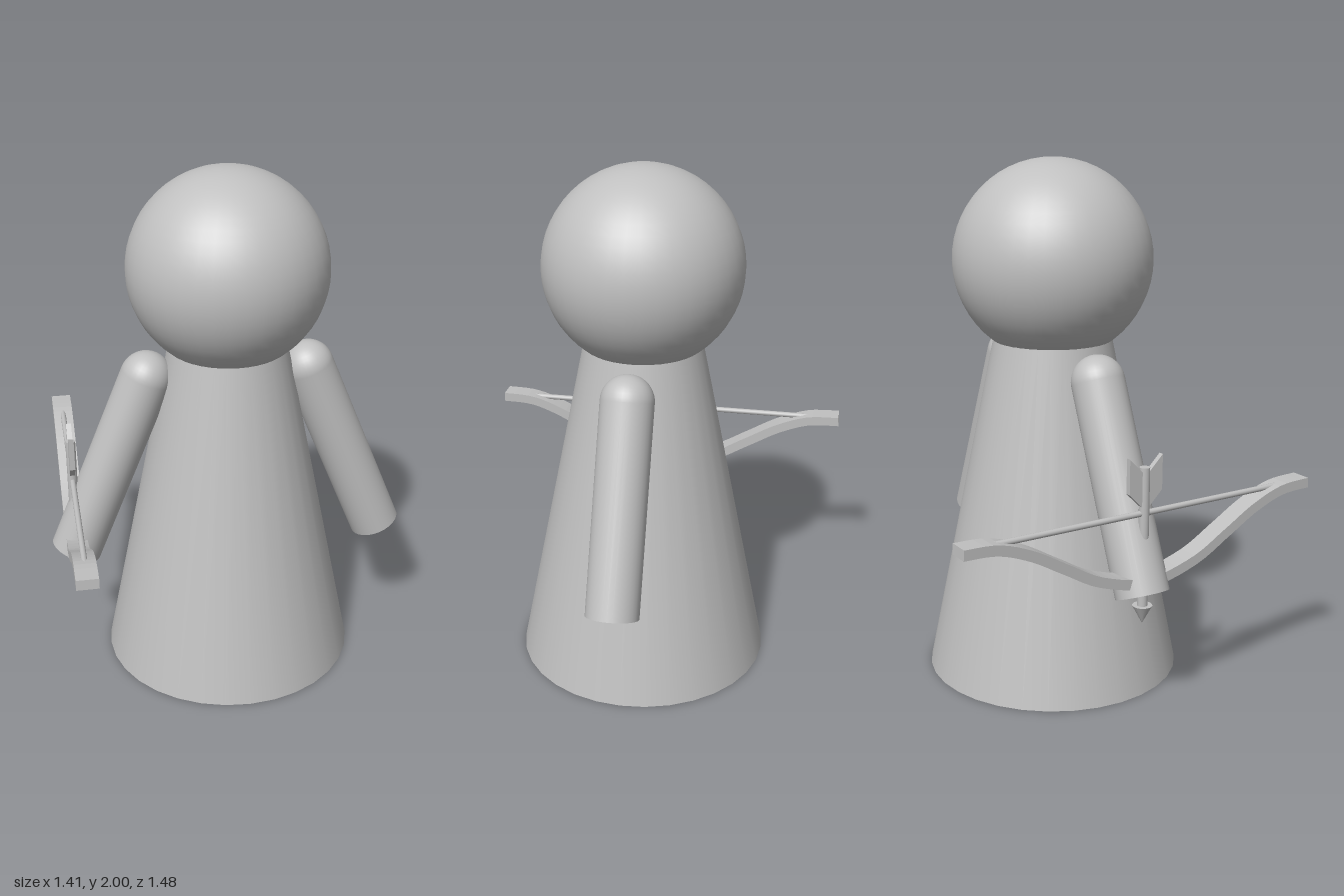
import * as THREE from 'three';

const grey = new THREE.MeshStandardMaterial({ color: 0xc0c0c0 });
grey.name = 'plain grey';

function part(parent, name, geometry, x = 0, y = 0, z = 0) {
  const mesh = new THREE.Mesh(geometry, grey);
  mesh.name = name;
  mesh.position.set(x, y, z);
  parent.add(mesh);
  return mesh;
}

// Outline drawn in (z, y), given thickness along x and centred there
function plate(shape, thickness) {
  return new THREE.ExtrudeGeometry(shape, { depth: thickness, bevelEnabled: false, curveSegments: 12 })
    .translate(0, 0, -thickness / 2)
    .rotateY(-Math.PI / 2);
}

// Recurved limb: a centre line thickened along its normals
function bowShape() {
  const half = [[0.74, 0.79], [0.61, 0.782], [0.48, 0.735], [0.35, 0.662], [0.2, 0.582]];
  const line = [...half.map(([z, y]) => [-z, y]), [0, 0.538], ...half.slice().reverse()];
  const curve = new THREE.SplineCurve(line.map(([z, y]) => new THREE.Vector2(z, y)));
  const upper = [], lower = [];
  for (let i = 0; i <= 48; i++) {
    const p = curve.getPoint(i / 48), t = curve.getTangent(i / 48);
    const n = new THREE.Vector2(-t.y, t.x).multiplyScalar(0.019);
    upper.push(p.clone().add(n));
    lower.push(p.clone().sub(n));
  }
  return new THREE.Shape([...lower, ...upper.reverse()]);
}

export function createModel() {
  const model = new THREE.Group();
  model.name = 'archer figure';

  part(model, 'body', new THREE.CylinderGeometry(0.228, 0.495, 1.32, 32), 0, 0.66, 0);
  part(model, 'head', new THREE.SphereGeometry(0.38, 40, 28), 0, 1.62, 0);

  // Arms slope outward from round shoulders
  for (const side of [-1, 1]) {
    const arm = new THREE.Group();
    arm.name = side > 0 ? 'leftArm' : 'rightArm';
    arm.position.set(side * 0.315, 1.208, 0);
    arm.rotation.z = side * Math.atan2(0.3, 0.728);
    part(arm, 'shoulder', new THREE.SphereGeometry(0.1, 32, 20));
    part(arm, 'sleeve', new THREE.CylinderGeometry(0.1, 0.1, 0.787, 32), 0, -0.3935, 0);
    model.add(arm);
  }

  // Bow held level in the right hand, arrow pointing down
  const weapon = new THREE.Group();
  weapon.name = 'bowAndArrow';
  weapon.position.x = -0.615;
  model.add(weapon);

  part(weapon, 'bow', plate(bowShape(), 0.08));
  part(weapon, 'bowString', new THREE.CylinderGeometry(0.011, 0.011, 1.25, 12).rotateX(Math.PI / 2), 0, 0.79, 0);
  part(weapon, 'arrowShaft', new THREE.CylinderGeometry(0.019, 0.019, 0.52, 16), 0, 0.7, 0);
  part(weapon, 'arrowHead', new THREE.ConeGeometry(0.037, 0.07, 16).rotateX(Math.PI), 0, 0.405, 0);

  // Swept feathers at the tail of the arrow
  for (const side of [-1, 1]) {
    const feather = new THREE.Shape([[0, 0.8], [0.07, 0.87], [0.07, 1.0], [0, 0.93]]
      .map(([z, y]) => new THREE.Vector2(side * z, y)));
    part(weapon, 'feather', plate(feather, 0.02));
  }
  return model;
}
